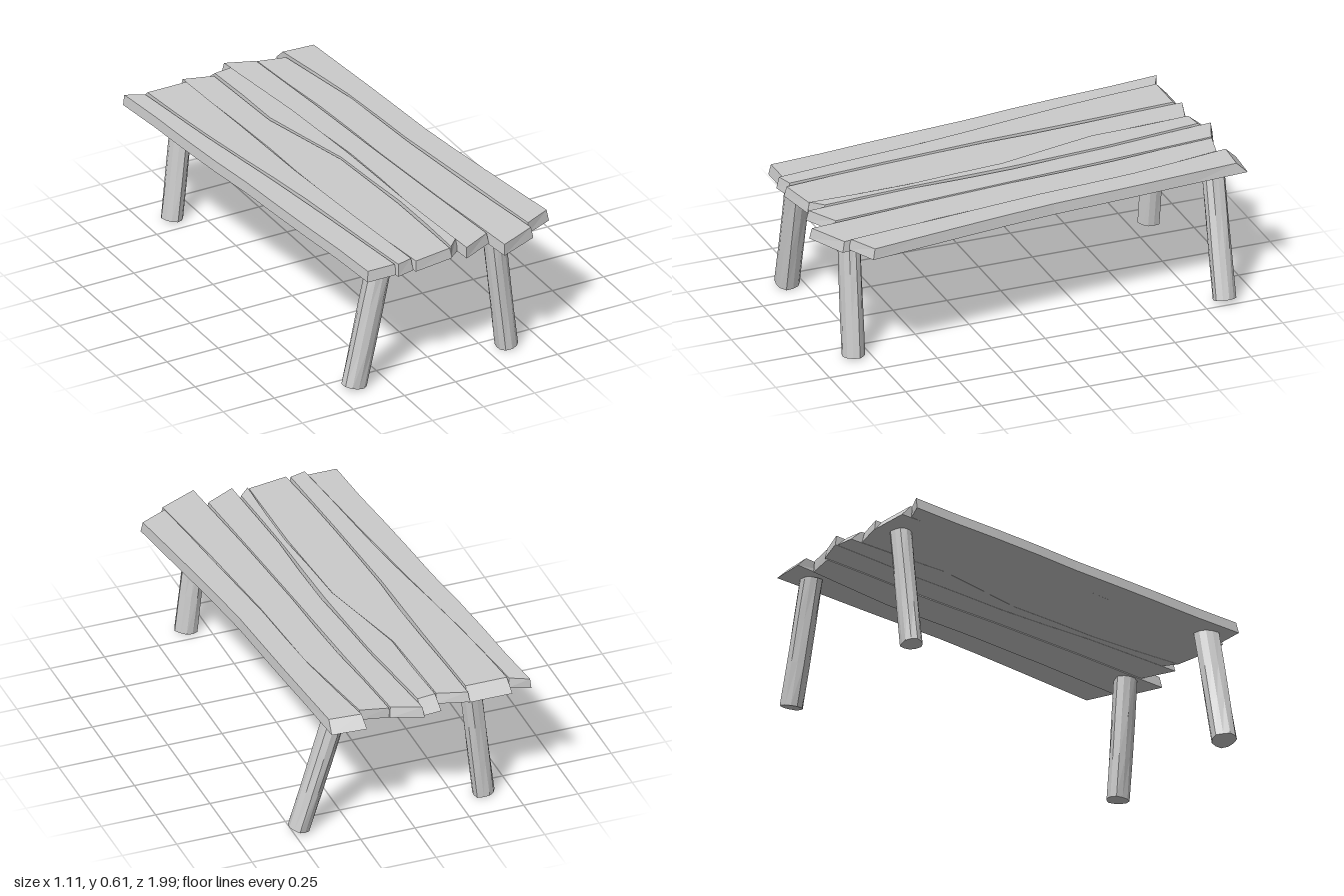
import * as THREE from 'three';

const material = new THREE.MeshStandardMaterial({ color: 0xcccccc, flatShading: true });

// Crooked seams between the boards: x at evenly spaced z from -0.92 to 0.92
const seams = [
  [-0.55, -0.515, -0.46, -0.425, -0.385],
  [-0.467, -0.415, -0.35, -0.295, -0.245],
  [-0.265, -0.245, -0.23, -0.2, -0.165],
  [-0.13, -0.108, -0.003, 0.025, 0.03],
  [-0.035, 0.018, 0.047, 0.06, 0.09],
  [0.095, 0.133, 0.165, 0.2, 0.237],
  [0.222, 0.297, 0.327, 0.373, 0.43],
  [0.378, 0.415, 0.446, 0.505, 0.569],
];

// Per board: z of the back left, back right, front left and front right corners,
// then lower and upper y, then how far the lower edge overhangs at the back
const boards = [
  [-0.95, -0.91, 0.91, 0.91, 0.555, 0.603, 0],
  [-0.91, -0.91, 0.93, 0.91, 0.555, 0.61, 0.05],
  [-0.95, -0.91, 0.93, 0.9, 0.557, 0.603, 0.01],
  [-0.92, -0.93, 0.9, 0.85, 0.556, 0.609, 0.06],
  [-0.99, -0.94, 0.93, 0.86, 0.555, 0.602, 0.01],
  [-0.94, -0.91, 0.98, 0.9, 0.55, 0.599, 0],
  [-0.95, -0.94, 0.87, 0.81, 0.556, 0.605, 0.05],
];

// x of a seam at any z, continued straight past its ends
function seamX(seam, z) {
  const t = (z + 0.92) / 0.46;
  const i = THREE.MathUtils.clamp(Math.floor(t), 0, 3);
  return THREE.MathUtils.lerp(seam[i], seam[i + 1], t - i);
}

// Board lofted from back to front between two neighbouring seams
function makePlank(board, index) {
  const [backL, backR, frontL, frontR, y0, y1, overhang] = board;
  const steps = 8, flare = 0.006;
  const loops = [];
  for (let i = 0; i <= steps; i++) {
    const t = i / steps;
    const lz = THREE.MathUtils.lerp(backL, frontL, t);
    const rz = THREE.MathUtils.lerp(backR, frontR, t);
    // gaps open and close along the seam
    const gap = 0.003 + 0.007 * Math.max(0, Math.sin(t * 9 + index * 2.3));
    const lx = seamX(seams[index], lz) + gap;
    const rx = seamX(seams[index + 1], rz) - 0.003;
    const shift = i === 0 ? -overhang : i === steps ? 0.01 : 0;
    loops.push([
      [lx, y1, lz],
      [rx, y1, rz],
      [rx + flare, y0, rz + shift],
      [lx - flare, y0, lz + shift],
    ]);
  }
  const pos = [];
  const quad = (a, b, c, d) => pos.push(...a, ...b, ...c, ...a, ...c, ...d);
  for (let i = 0; i < steps; i++) {
    const A = loops[i], B = loops[i + 1];
    for (let k = 0; k < 4; k++) {
      const n = (k + 1) % 4;
      quad(A[k], B[k], B[n], A[n]);
    }
  }
  const F = loops[0], L = loops[steps];
  quad(F[0], F[1], F[2], F[3]);
  quad(L[3], L[2], L[1], L[0]);
  const g = new THREE.BufferGeometry();
  g.setAttribute('position', new THREE.Float32BufferAttribute(pos, 3));
  g.computeVertexNormals();
  const plank = new THREE.Mesh(g, material);
  plank.name = 'plank' + (index + 1);
  return plank;
}

// Rough-hewn post between two points, with an uneven faceted outline
function makeLeg(name, bottom, top, radius, phase) {
  const a = new THREE.Vector3(...bottom), b = new THREE.Vector3(...top);
  const axis = b.clone().sub(a);
  const g = new THREE.CylinderGeometry(radius, radius, axis.length(), 11, 3);
  const p = g.attributes.position;
  for (let i = 0; i < p.count; i++) {
    const x = p.getX(i), y = p.getY(i), z = p.getZ(i);
    const ang = Math.atan2(z, x);
    const s = 1 + 0.06 * Math.sin(3 * ang + phase) + 0.04 * Math.sin(5 * ang + phase * 2 + y * 6);
    p.setXYZ(i, x * s, y, z * s);
  }
  g.computeVertexNormals();
  const leg = new THREE.Mesh(g, material);
  leg.name = name;
  leg.position.copy(a).add(b).multiplyScalar(0.5);
  leg.quaternion.setFromUnitVectors(new THREE.Vector3(0, 1, 0), axis.normalize());
  return leg;
}

export function createModel() {
  const model = new THREE.Group();

  // Table top of seven crooked boards
  const top = new THREE.Group();
  top.name = 'tableTop';
  boards.forEach((board, i) => top.add(makePlank(board, i)));
  model.add(top);

  // Splayed legs
  model.add(
    makeLeg('frontRightLeg', [-0.405, 0.013, 0.825], [-0.28, 0.565, 0.825], 0.055, 0),
    makeLeg('frontLeftLeg', [0.347, 0.007, 0.825], [0.285, 0.565, 0.82], 0.05, 1.7),
    makeLeg('backRightLeg', [-0.375, 0.007, -0.84], [-0.31, 0.565, -0.85], 0.048, 3.4),
    makeLeg('backLeftLeg', [0.473, 0.02, -0.84], [0.31, 0.565, -0.855], 0.05, 5.1),
  );
  return model;
}
